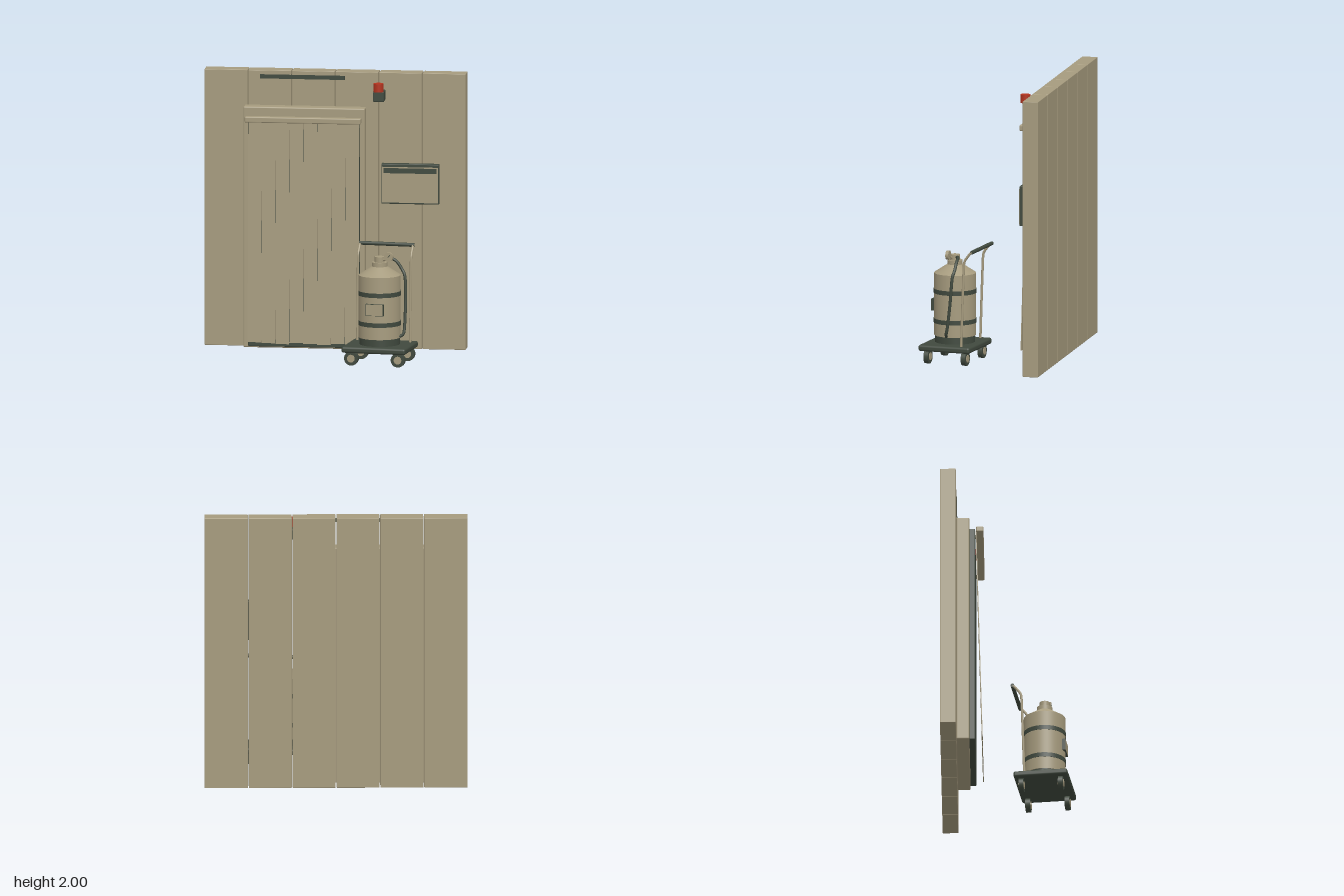
import * as THREE from 'three';
import { RoundedBoxGeometry } from 'three/addons/geometries/RoundedBoxGeometry.js';

const beige = new THREE.MeshStandardMaterial({ color: 0xa69b7e });
beige.name = 'beige paint';
const dark = new THREE.MeshStandardMaterial({ color: 0x40493e });
dark.name = 'dark green grey';
const red = new THREE.MeshStandardMaterial({ color: 0xb4341f });
red.name = 'signal red';

function add(parent, name, geometry, material, x = 0, y = 0, z = 0) {
  const mesh = new THREE.Mesh(geometry, material);
  mesh.name = name;
  mesh.position.set(x, y, z);
  parent.add(mesh);
  return mesh;
}

// Box given by its limits on each axis, optionally with rounded edges
function block(parent, name, material, [x0, x1], [y0, y1], [z0, z1], radius = 0) {
  const size = [x1 - x0, y1 - y0, z1 - z0];
  const geometry = radius ? new RoundedBoxGeometry(...size, 2, radius) : new THREE.BoxGeometry(...size);
  return add(parent, name, geometry, material, (x0 + x1) / 2, (y0 + y1) / 2, (z0 + z1) / 2);
}

function tube(parent, name, material, points, radius, tension = 0.5) {
  const curve = new THREE.CatmullRomCurve3(points.map(p => new THREE.Vector3(...p)), false, 'catmullrom', tension);
  return add(parent, name, new THREE.TubeGeometry(curve, 48, radius, 10), material);
}

function cylinder(parent, name, material, radius, y0, y1, x = 0, z = 0) {
  return add(parent, name, new THREE.CylinderGeometry(radius, radius, y1 - y0, 48), material, x, (y0 + y1) / 2, z);
}

function makeWall() {
  const wall = new THREE.Group();
  wall.name = 'wall';
  const w = 1.88 / 6;
  for (let i = 0; i < 6; i++) {
    const x = -0.94 + i * w;
    block(wall, 'wallPanel', beige, [x + (i ? 0.003 : 0), x + w - (i < 5 ? 0.003 : 0)], [0, 2], [-0.48, -0.367], 0.004);
  }
  block(wall, 'headerStripe', dark, [-0.54, 0.07], [1.94, 1.97], [-0.369, -0.364]);
  return wall;
}

function makeDoor() {
  const door = new THREE.Group();
  door.name = 'door';
  block(door, 'doorFrame', beige, [-0.65, 0.225], [0.005, 1.75], [-0.367, -0.272], 0.01);
  block(door, 'doorOpening', dark, [-0.61, 0.19], [0.02, 1.68], [-0.274, -0.232], 0.006);
  block(door, 'curtainRail', beige, [-0.628, 0.207], [1.65, 1.692], [-0.225, -0.172], 0.008);

  // Hanging strips, leaning forward towards the floor
  const lean = Math.atan2(0.045, 1.6);
  for (let i = 0; i < 8; i++) {
    const pivot = new THREE.Group();
    pivot.name = 'curtainStrip';
    pivot.position.set(-0.56 + i * 0.1 + 0.002, 1.665, -0.226);
    pivot.rotation.x = -lean;
    const length = 1.607 + (i % 3) * 0.005;
    add(pivot, 'strip', new THREE.BoxGeometry(0.0985, length, 0.006), beige, 0, -length / 2, 0);
    door.add(pivot);
  }
  return door;
}

function makeWallFittings() {
  const fittings = new THREE.Group();
  fittings.name = 'wallFittings';
  // Notice board
  block(fittings, 'boardBack', dark, [0.34, 0.755], [1.06, 1.35], [-0.347, -0.3], 0.005);
  block(fittings, 'boardFace', beige, [0.347, 0.748], [1.07, 1.328], [-0.302, -0.297]);
  block(fittings, 'boardHeading', dark, [0.357, 0.738], [1.283, 1.32], [-0.299, -0.294]);
  // Warning beacon on its bracket
  block(fittings, 'beaconBracket', dark, [0.286, 0.366], [1.806, 1.88], [-0.347, -0.242], 0.006);
  cylinder(fittings, 'beaconLamp', red, 0.036, 1.88, 1.94, 0.326, -0.245);
  return fittings;
}

function makeTank() {
  const tank = new THREE.Group();
  tank.name = 'tank';
  cylinder(tank, 'tankFoot', dark, 0.144, 0.138, 0.195);
  cylinder(tank, 'tankBody', beige, 0.15, 0.19, 0.64);
  const cone = add(tank, 'tankShoulder', new THREE.CylinderGeometry(0.055, 0.15, 0.062, 48), beige, 0, 0.671, 0);
  cone.castShadow = false;
  cylinder(tank, 'tankCollar', beige, 0.055, 0.70, 0.732);
  cylinder(tank, 'tankValve', beige, 0.036, 0.73, 0.772);
  for (const y of [0.28, 0.495]) cylinder(tank, 'tankBand', dark, 0.153, y, y + 0.032);
  block(tank, 'labelBack', dark, [-0.065, 0.065], [0.365, 0.45], [0.135, 0.158]);
  block(tank, 'labelFace', beige, [-0.062, 0.062], [0.368, 0.447], [0.157, 0.16]);

  // Pressure gauge facing the front
  tube(tank, 'gaugeStem', beige, [[0.02, 0.75, 0.01], [0.045, 0.755, 0.018], [0.07, 0.77, 0.02]], 0.009);
  const gauge = new THREE.Group();
  gauge.name = 'gauge';
  gauge.position.set(0.072, 0.775, 0.025);
  const body = add(gauge, 'gaugeBody', new THREE.CylinderGeometry(0.033, 0.033, 0.022, 32), beige);
  body.rotation.x = Math.PI / 2;
  const needle = add(gauge, 'gaugeNeedle', new THREE.BoxGeometry(0.004, 0.024, 0.003), dark, 0.005, 0.007, 0.012);
  needle.rotation.z = -0.7;
  tank.add(gauge);
  return tank;
}

function makeTrolley() {
  const trolley = new THREE.Group();
  trolley.name = 'trolley';
  trolley.position.set(0.395, 0, 0.255);
  trolley.rotation.y = -0.13;
  block(trolley, 'platform', dark, [-0.236, 0.236], [0.095, 0.14], [-0.195, 0.195], 0.016);

  // Wheels and handle posts on both sides
  for (const side of [-1, 1]) {
    for (const end of [-1, 1]) {
      const wheel = new THREE.Group();
      wheel.name = 'wheel';
      wheel.position.set(side * 0.172, 0.051, end * 0.142);
      wheel.rotation.x = Math.PI / 2;
      add(wheel, 'tyre', new THREE.CylinderGeometry(0.051, 0.051, 0.034, 32), dark);
      add(wheel, 'hub', new THREE.CylinderGeometry(0.028, 0.028, 0.042, 24), beige);
      trolley.add(wheel);
    }
    const x = side * 0.195;
    tube(trolley, 'handlePost', beige, [
      [x, 0.135, -0.12], [x, 0.45, -0.13], [x, 0.72, -0.14], [x, 0.765, -0.148], [x, 0.815, -0.185], [x, 0.83, -0.205],
    ], 0.009, 0.3);
  }
  const bar = add(trolley, 'handleBar', new THREE.CylinderGeometry(0.014, 0.014, 0.405, 20), dark, 0, 0.83, -0.205);
  bar.rotation.z = Math.PI / 2;
  trolley.add(makeTank());
  return trolley;
}

export function createModel() {
  const model = new THREE.Group();
  model.name = 'doorwayWithTankTrolley';
  model.add(makeWall(), makeDoor(), makeWallFittings(), makeTrolley());
  // Hose from the valve down the side of the tank
  tube(model, 'hose', dark, [
    [0.42, 0.755, 0.235], [0.46, 0.758, 0.217], [0.51, 0.735, 0.217], [0.55, 0.68, 0.222],
    [0.575, 0.62, 0.235], [0.58, 0.45, 0.248], [0.576, 0.28, 0.268], [0.568, 0.22, 0.28], [0.54, 0.198, 0.285],
  ], 0.011);
  return model;
}
